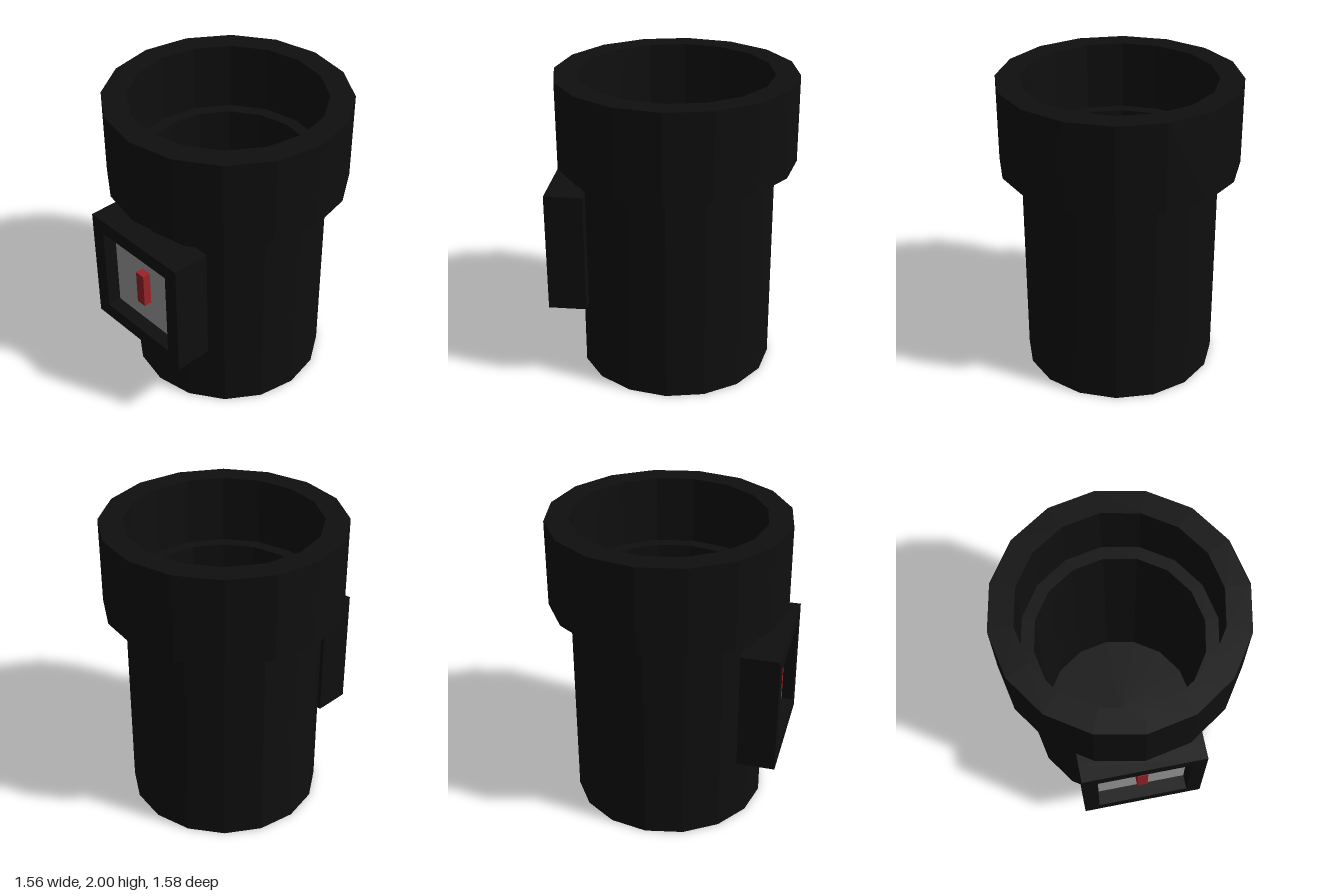
import * as THREE from 'three';

const SIDES = 16;
const AXIS_Z = -0.012; // the tube axis sits slightly behind the centre

function material(name, color) {
  const m = new THREE.MeshStandardMaterial({ color, flatShading: true });
  m.name = name;
  return m;
}

export function createModel() {
  const group = new THREE.Group();
  group.name = 'cylinderWithGauge';
  const black = material('black', 0x0f0f0f);
  const grey = material('panelGrey', 0xa0a0a0);
  const red = material('red', 0x9c2328);

  function add(name, geometry, mat, x, y, z) {
    const mesh = new THREE.Mesh(geometry, mat);
    mesh.name = name;
    mesh.position.set(x, y, z);
    group.add(mesh);
  }
  const lathe = (points) =>
    new THREE.LatheGeometry(points.map(([r, y]) => new THREE.Vector2(r, y)), SIDES);

  // Hollow body: closed base, outer wall, upper ledge, inner wall and floor
  add('body', lathe([
    [0, 0], [0.64, 0], [0.64, 1.55], [0.54, 1.55], [0.54, 0.1], [0, 0.1],
  ]), black, 0, 0, AXIS_Z);

  // Wide collar ring around the top
  add('collar', lathe([
    [0.625, 1.43], [0.78, 1.43], [0.78, 2], [0.625, 2], [0.625, 1.43],
  ]), black, 0, 0, AXIS_Z);

  // Square housing with an open recess in front
  const square = (Type, h) => new Type([
    new THREE.Vector2(-h, -h), new THREE.Vector2(h, -h),
    new THREE.Vector2(h, h), new THREE.Vector2(-h, h),
  ]);
  const frame = square(THREE.Shape, 0.4);
  frame.holes.push(square(THREE.Path, 0.3));
  add('housingFrame', new THREE.ExtrudeGeometry(frame, { depth: 0.1, bevelEnabled: false }),
    black, 0, 0.88, 0.69);
  add('housingBack', new THREE.BoxGeometry(0.8, 0.8, 0.15), black, 0, 0.88, 0.615);

  // Pale panel at the bottom of the recess, with an upright switch
  add('panel', new THREE.BoxGeometry(0.6, 0.6, 0.008), grey, 0, 0.88, 0.692);
  add('switch', new THREE.BoxGeometry(0.07, 0.24, 0.06), red, 0, 0.88, 0.72);

  return group;
}
